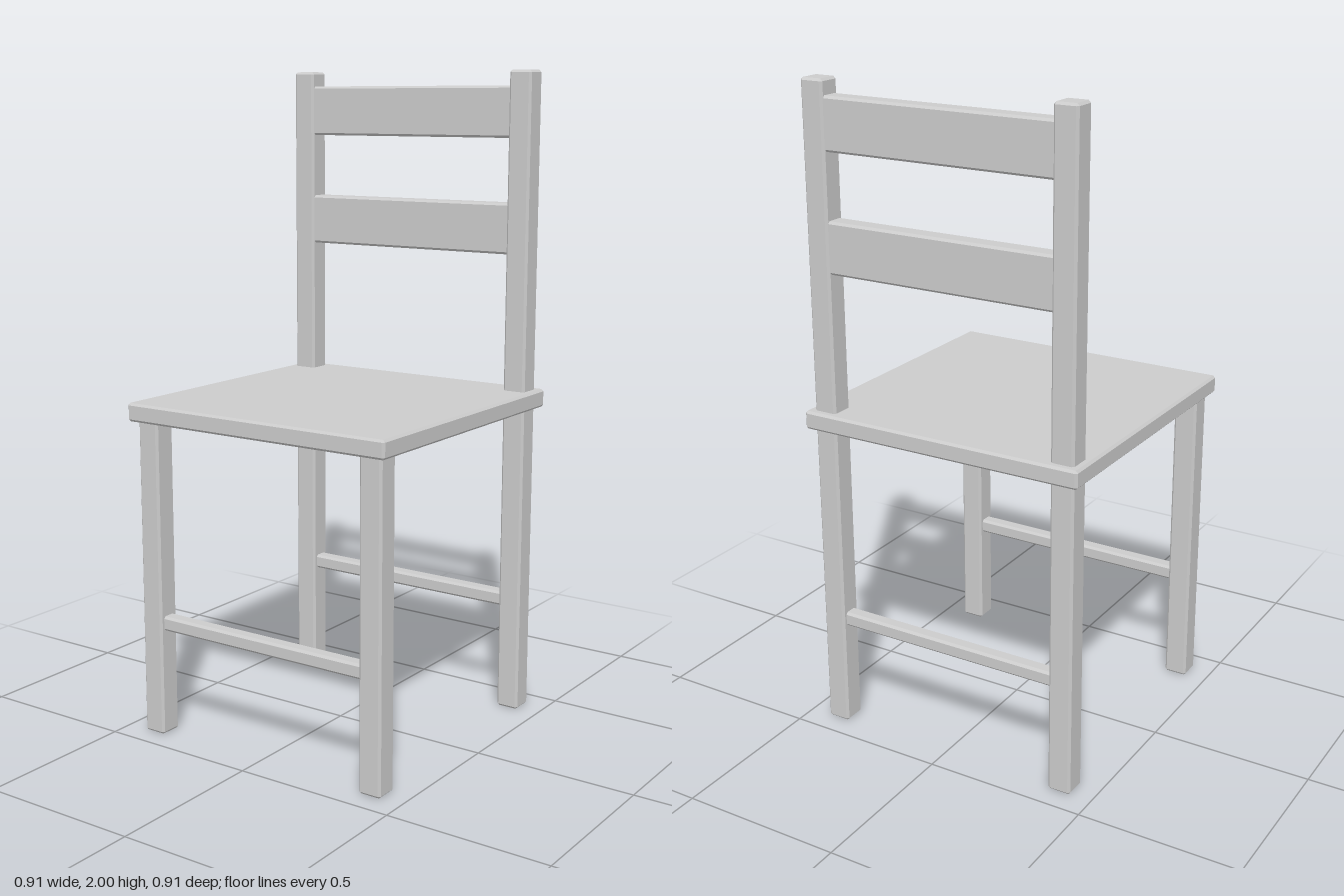
import * as THREE from 'three';
import { ConvexGeometry } from 'three/addons/geometries/ConvexGeometry.js';

const material = new THREE.MeshStandardMaterial({ color: 0xcccccc, flatShading: true });

// Box with chamfered edges: every corner is cut back to three points.
function bar(name, size, position, c = 0.007) {
  const points = [];
  const [w, h, d] = size.map((s) => s / 2);
  for (const sx of [-1, 1]) for (const sy of [-1, 1]) for (const sz of [-1, 1]) {
    points.push(
      new THREE.Vector3(sx * w, sy * (h - c), sz * (d - c)),
      new THREE.Vector3(sx * (w - c), sy * h, sz * (d - c)),
      new THREE.Vector3(sx * (w - c), sy * (h - c), sz * d),
    );
  }
  const mesh = new THREE.Mesh(new ConvexGeometry(points), material);
  mesh.name = name;
  mesh.position.set(...position);
  return mesh;
}

export function createModel() {
  const chair = new THREE.Group();
  chair.name = 'chair';
  const leg = 0.073; // square leg section
  const off = 0.3965; // leg centre from the middle

  chair.add(bar('seat', [0.91, 0.056, 0.91], [0, 1.003, 0]));

  // Front legs stop under the seat, back legs run up as back posts
  for (const [side, sx] of [['left', 1], ['right', -1]]) {
    chair.add(bar(`${side}FrontLeg`, [leg, 1, leg], [sx * off, 0.5, off]));
    chair.add(bar(`${side}BackPost`, [leg, 2, leg], [sx * off, 1, -off]));
  }

  // Back slats between the posts
  const span = 0.74;
  chair.add(bar('upperSlat', [span, 0.155, 0.06], [0, 1.877, -0.397]));
  chair.add(bar('lowerSlat', [span, 0.155, 0.06], [0, 1.527, -0.397]));

  // Stretchers at the front and back
  chair.add(bar('frontStretcher', [span, 0.045, 0.045], [0, 0.353, off]));
  chair.add(bar('backStretcher', [span, 0.045, 0.045], [0, 0.353, -off]));

  return chair;
}
